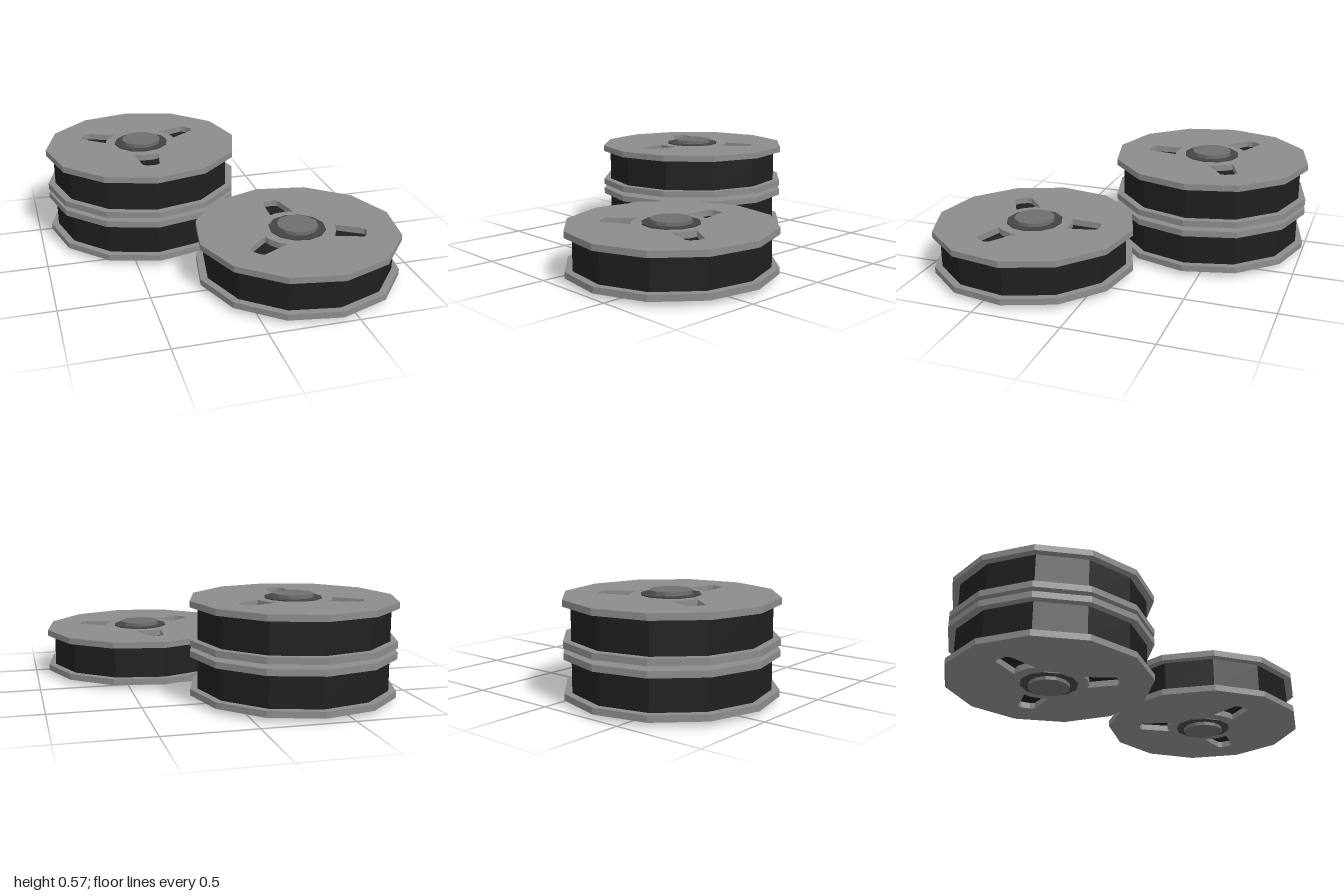
import * as THREE from 'three';

const SIDES = 12;
const FLANGE_R = 0.575, FLANGE_T = 0.035;

const material = (color) => new THREE.MeshStandardMaterial({ color, flatShading: true });
const flangeMat = material(0x8c8c8c);
const tapeMat = material(0x1f1f1f);
const ringMat = material(0x444444);
const capMat = material(0x6e6e6e);

// Polygonal disc with three tapered windows
function flangeGeometry() {
  const rim = [];
  for (let i = 0; i < SIDES; i++) {
    const a = Math.PI / 2 + (i / SIDES) * Math.PI * 2;
    rim.push(new THREE.Vector2(Math.cos(a) * FLANGE_R, Math.sin(a) * FLANGE_R));
  }
  const shape = new THREE.Shape(rim);
  const slot = [[-0.072, 0.2], [-0.038, 0.214], [0.038, 0.214], [0.072, 0.2],
    [0.05, 0.37], [0.026, 0.385], [-0.026, 0.385], [-0.05, 0.37]];
  for (let k = 0; k < 3; k++) {
    const turn = (k * Math.PI * 2) / 3;
    shape.holes.push(new THREE.Path(slot.map(([x, y]) =>
      new THREE.Vector2(x, y).rotateAround(new THREE.Vector2(), turn))));
  }
  const geo = new THREE.ExtrudeGeometry(shape, { depth: FLANGE_T, bevelEnabled: false });
  return geo.rotateX(Math.PI / 2).translate(0, FLANGE_T, 0);
}

const flangeGeo = flangeGeometry();

function createReel(name, x, y, z, turn) {
  const reel = new THREE.Group();
  reel.name = name;
  const add = (part, geo, mat, py) => {
    const mesh = new THREE.Mesh(geo, mat);
    mesh.name = part;
    mesh.position.y = py;
    reel.add(mesh);
  };
  const disc = (r, h) => new THREE.CylinderGeometry(r, r, h, SIDES);

  add('bottomFlange', flangeGeo, flangeMat, 0.026);
  add('topFlange', flangeGeo, flangeMat, 0.239);
  add('woundTape', disc(0.533, 0.178), tapeMat, 0.15);
  // Hub pieces run through the reel and show on both faces
  add('hubRing', disc(0.16, 0.26), ringMat, 0.15);
  add('hubCap', disc(0.115, 0.3), capMat, 0.15);

  reel.position.set(x, y, z);
  reel.rotation.y = turn;
  return reel;
}

export function createModel() {
  const model = new THREE.Group();
  model.name = 'tapeReels';
  model.add(
    createReel('lowerStackedReel', -0.355, 0, -0.425, -0.026),
    createReel('upperStackedReel', -0.355, 0.272, -0.425, -0.026),
    createReel('singleReel', 0.355, 0, 0.425, Math.PI + 0.096),
  );
  return model;
}
